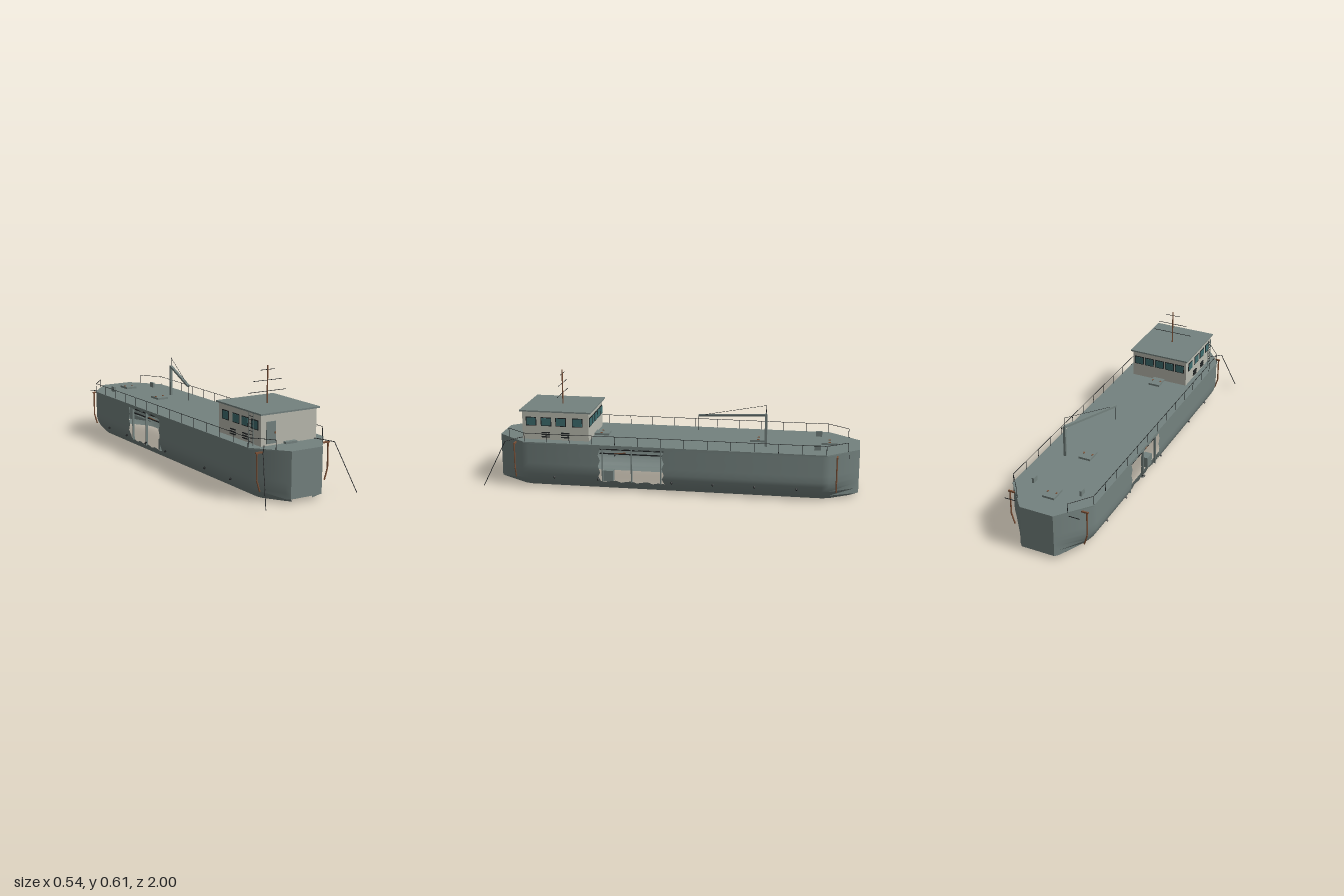
import * as THREE from 'three';
import { toCreasedNormals } from 'three/addons/utils/BufferGeometryUtils.js';

const paint = (name, color) => {
  const m = new THREE.MeshStandardMaterial({ color });
  m.name = name;
  return m;
};

export function createModel() {
  const model = new THREE.Group();
  model.name = 'cargoBarge';
  const steel = paint('grey green steel', 0x74827f);
  const cream = paint('cabin cream', 0xbabbb0);
  const glass = paint('teal glass', 0x3f6e70);
  const rust = paint('rusty brown', 0x7d5238);
  const black = paint('black iron', 0x1e2122);

  const add = (name, geo, mat, x = 0, y = 0, z = 0) => {
    const mesh = new THREE.Mesh(geo, mat);
    mesh.name = name;
    mesh.position.set(x, y, z);
    model.add(mesh);
    return mesh;
  };
  const box = (name, w, h, d, mat, x, y, z) => add(name, new THREE.BoxGeometry(w, h, d), mat, x, y, z);
  // Round bars joining a list of points
  const rod = (name, pts, r, mat) => {
    for (let i = 1; i < pts.length; i++) {
      const a = new THREE.Vector3(...pts[i - 1]), b = new THREE.Vector3(...pts[i]);
      const dir = b.clone().sub(a);
      const m = add(name, new THREE.CylinderGeometry(r, r, dir.length(), 6), mat);
      m.position.copy(a).add(b).multiplyScalar(0.5);
      m.quaternion.setFromUnitVectors(new THREE.Vector3(0, 1, 0), dir.normalize());
    }
  };

  // Hull section levels: height, half width, half width of the flat ends, end inset
  const levels = [
    [0, 0.155, 0.06, 0.03], [0.022, 0.18, 0.09, 0], [0.05, 0.204, 0.09, 0], [0.08, 0.219, 0.09, 0],
    [0.105, 0.225, 0.09, 0], [0.14, 0.225, 0.09, 0], [0.17, 0.225, 0.09, 0], [0.2, 0.225, 0.09, 0],
    [0.238, 0.225, 0.09, 0], [0.253, 0.225, 0.09, 0],
  ];
  const HOLE_LOW = 2, HOLE_HIGH = 8, CUTS = 12;

  // One half of the plating, with a torn opening between z0 (fore) and z1 (aft)
  function plating(side, z0, z1, inset, inward) {
    const pos = [], index = [];
    let cols = 0;
    levels.forEach(([y, hw, e, d], r) => {
      const w = hw - inset, zb = 0.95 - d - inset, zs = -1 + d + inset;
      const ring = [[0, y, zb], [e, y, zb], [e + 0.018, y, zb - 0.02], [w - 0.01, y, 0.797], [w, y, 0.76]];
      for (let i = 0; i <= CUTS; i++) {
        let z = z0 + (z1 - z0) * i / CUTS, yy = y;
        if (r >= HOLE_LOW && r <= HOLE_HIGH) {
          if (i === 0 || i === CUTS) z += r % 2 ? 0.007 : -0.005;
          else if (r === HOLE_LOW || r === HOLE_HIGH) yy += [0.006, -0.004, 0.002][i % 3];
        }
        ring.push([w, yy, z]);
      }
      ring.push([w, y, -0.81], [w - 0.01, y, -0.847], [e + 0.018, y, zs + 0.02], [e, y, zs], [0, y, zs]);
      cols = ring.length;
      ring.forEach(p => pos.push(p[0] * side, p[1], p[2]));
    });
    for (let r = 0; r < levels.length - 1; r++) {
      for (let c = 0; c < cols - 1; c++) {
        if (r >= HOLE_LOW && r < HOLE_HIGH && c >= 5 && c < 5 + CUTS) continue; // opening
        if (r === 0 && (c === 0 || c === cols - 2)) continue; // gap under the end plates
        const a = r * cols + c, b = a + 1, t = b + cols, u = a + cols;
        if ((side > 0) !== inward) index.push(a, b, t, a, t, u);
        else index.push(a, t, b, a, u, t);
      }
    }
    const g = new THREE.BufferGeometry();
    g.setAttribute('position', new THREE.Float32BufferAttribute(pos, 3));
    g.setIndex(index);
    return toCreasedNormals(g.toNonIndexed(), 0.6);
  }
  for (const [side, z0, z1] of [[1, 0.37, 0.025], [-1, -0.07, -0.41]]) {
    add('hullPlating', plating(side, z0, z1, 0, false), steel);
    add('hullLining', plating(side, z0, z1, 0.004, true), steel);
    // Ribs and stringers seen inside the opening
    for (let i = 0; i <= 2; i++) {
      box('hullRib', 0.012, 0.2, 0.006, steel, side * 0.207, 0.15, z0 + (z1 - z0) * (0.04 + 0.46 * i));
    }
    for (const y of [0.205, 0.228]) box('stringer', 0.008, 0.005, z0 - z1, black, side * 0.2, y, (z0 + z1) / 2);
    box('brokenLocker', 0.04, 0.06, 0.055, steel, side * 0.17, 0.075, z0 - 0.04);
    rod('bentPipe', [[side * 0.19, 0.2, z0 - 0.05], [side * 0.21, 0.215, z0 - 0.14]], 0.003, rust);
  }

  // Deck and bottom plates
  const octagon = (w, e, bow, stern) => new THREE.Shape([
    [e, bow], [-e, bow], [-w, 0.785], [-w, -0.835], [-e, stern], [e, stern], [w, -0.835], [w, 0.785],
  ].map(p => new THREE.Vector2(...p)));
  const deck = new THREE.ExtrudeGeometry(octagon(0.226, 0.09, 0.951, -1), { depth: 0.007, bevelEnabled: false });
  add('deck', deck.rotateX(Math.PI / 2), steel, 0, 0.257, 0);
  add('bottom', new THREE.ShapeGeometry(octagon(0.155, 0.06, 0.92, -0.97)).rotateX(Math.PI / 2), steel);

  // Deck hatches with hinges
  for (const z of [-0.84, -0.46, 0.4, 0.785]) {
    box('hatch', 0.066, 0.012, 0.085, steel, 0, 0.262, z);
    for (const x of [-0.024, 0.024]) box('hatchClip', 0.007, 0.004, 0.012, rust, x, 0.269, z);
  }

  // Deckhouse
  box('deckhouse', 0.33, 0.158, 0.366, cream, 0, 0.334, 0.621);
  box('roof', 0.352, 0.008, 0.393, steel, 0, 0.415, 0.621);
  box('door', 0.053, 0.108, 0.008, steel, -0.108, 0.321, 0.806);
  box('doorHandle', 0.005, 0.01, 0.006, rust, -0.089, 0.32, 0.812);
  for (const s of [1, -1]) {
    for (const z of [0.755, 0.672, 0.591, 0.499]) {
      box('windowFrame', 0.006, 0.048, 0.058, black, s * 0.165, 0.357, z);
      box('sideWindow', 0.009, 0.04, 0.05, glass, s * 0.165, 0.357, z);
    }
    for (const z of [0.675, 0.567]) {
      for (const y of [0.273, 0.285, 0.297]) box('ventSlat', 0.008, 0.005, 0.045, black, s * 0.167, y, z);
    }
  }
  for (let i = -2; i <= 2; i++) {
    box('windowFrame', 0.054, 0.048, 0.006, black, i * 0.063, 0.357, 0.438);
    box('backWindow', 0.046, 0.04, 0.009, glass, i * 0.063, 0.357, 0.438);
  }
  // Ladder to the roof
  for (const z of [0.73, 0.765]) rod('ladderRail', [[-0.183, 0.257, z], [-0.183, 0.415, z]], 0.002, steel);
  for (let i = 0; i < 8; i++) {
    rod('ladderRung', [[-0.183, 0.272 + i * 0.018, 0.73], [-0.183, 0.272 + i * 0.018, 0.765]], 0.0015, black);
  }

  // Mast with aerial bars
  rod('mast', [[0, 0.415, 0.62], [0, 0.61, 0.62]], 0.0035, rust);
  for (const [y, w] of [[0.48, 0.113], [0.535, 0.086], [0.588, 0.043]]) {
    rod('aerial', [[-w, y, 0.62], [w, y, 0.62]], 0.0015, black);
  }

  // Cargo crane
  box('cranePost', 0.013, 0.178, 0.013, steel, 0.107, 0.343, -0.507);
  const boomTip = [0, 0.383, -0.135], postTop = [0.107, 0.428, -0.507];
  const boom = box('craneBoom', 0.013, 0.012, 0.39, steel, 0.0535, 0.4055, -0.321);
  boom.lookAt(...boomTip);
  rod('craneSpike', [postTop, [0.107, 0.48, -0.507]], 0.0015, black);
  rod('craneStay', [[0.107, 0.48, -0.507], boomTip], 0.001, black);
  rod('craneCable', [boomTip, [0, 0.3, -0.135]], 0.001, black);

  // Fittings mirrored on both sides
  for (const s of [1, -1]) {
    const rail = [[s * 0.138, 0.305, 0.89], [s * 0.222, 0.305, 0.78], [s * 0.222, 0.305, -0.83], [s * 0.138, 0.305, -0.94]];
    rod('handrail', rail, 0.0014, black);
    for (let i = 0; i <= 13; i++) {
      const z = 0.78 - i * 1.61 / 13;
      rod('railPost', [[s * 0.222, 0.255, z], [s * 0.222, 0.305, z]], 0.0014, black);
    }
    for (const [x, , z] of [rail[0], rail[3]]) rod('railPost', [[x, 0.255, z], [x, 0.305, z]], 0.0014, black);
    // Mooring lines at the bow
    rod('mooringLine', [[s * 0.15, 0.262, 0.81], [s * 0.212, 0.252, 0.89], [s * 0.27, 0.012, 1]], 0.002, black);
    // Drain pipes and their brackets
    for (const z of [0.84, -0.885]) {
      rod('drainPipe', [[s * 0.212, 0.245, z], [s * 0.212, 0.108, z], [s * 0.194, 0.05, z]], 0.004, rust);
      box('pipeBracket', 0.06, 0.008, 0.008, rust, s * 0.19, 0.241, z);
    }
    rod('sternBar', [[s * 0.145, 0.24, -0.945], [s * 0.205, 0.24, -0.945]], 0.002, black);
    box('bollard', 0.012, 0.03, 0.034, steel, s * 0.132, 0.271, -0.78);
    // Scupper outlets along the bilge
    for (const z of [0.62, 0.38, -0.02, -0.24, -0.46, -0.68]) {
      rod('scupper', [[s * 0.208, 0.068, z], [s * 0.221, 0.06, z]], 0.005, black);
    }
  }
  return model;
}
